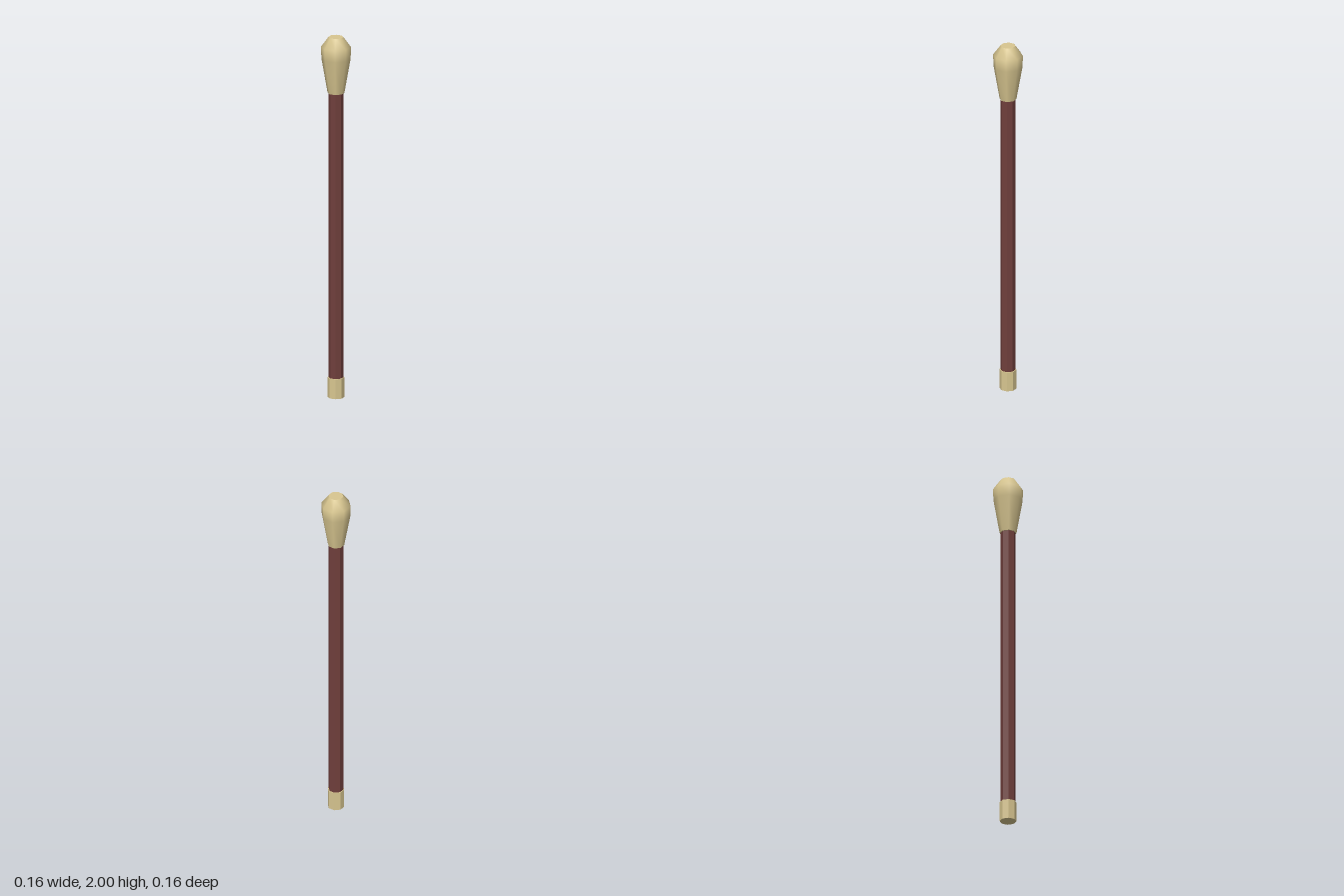
import * as THREE from 'three';

const SIDES = 8;

export function createModel() {
  const group = new THREE.Group();
  const brass = new THREE.MeshStandardMaterial({ color: 0xd8c690 });
  const brassFlat = new THREE.MeshStandardMaterial({ color: 0xd8c690, flatShading: true });
  const wood = new THREE.MeshStandardMaterial({ color: 0x703f3c, flatShading: true });

  const add = (name, geometry, material, parent = group) => {
    const mesh = new THREE.Mesh(geometry, material);
    mesh.name = name;
    parent.add(mesh);
    return mesh;
  };

  // octagonal rod between two heights
  const rod = (name, radius, y0, y1, material) => {
    const mesh = add(name, new THREE.CylinderGeometry(radius, radius, y1 - y0, SIDES), material);
    mesh.position.y = (y0 + y1) / 2;
  };
  rod('ferrule', 0.045, 0, 0.11, brassFlat);
  rod('shaft', 0.04, 0.1, 1.7, wood);

  // swelling knob with flat ends
  const knob = new THREE.Group();
  knob.name = 'knob';
  group.add(knob);
  const profile = [[0.045, 1.69], [0.078, 1.88], [0.08, 1.945], [0.04, 2]];
  add('knobBody', new THREE.LatheGeometry(profile.map(([r, y]) => new THREE.Vector2(r, y)), SIDES), brass, knob);
  for (const [name, [r, y], turn] of [['knobTop', profile[3], -1], ['knobUnderside', profile[0], 1]]) {
    const cap = add(name, new THREE.CircleGeometry(r, SIDES), brassFlat, knob);
    cap.rotation.x = turn * Math.PI / 2;
    cap.position.y = y;
  }

  return group;
}
